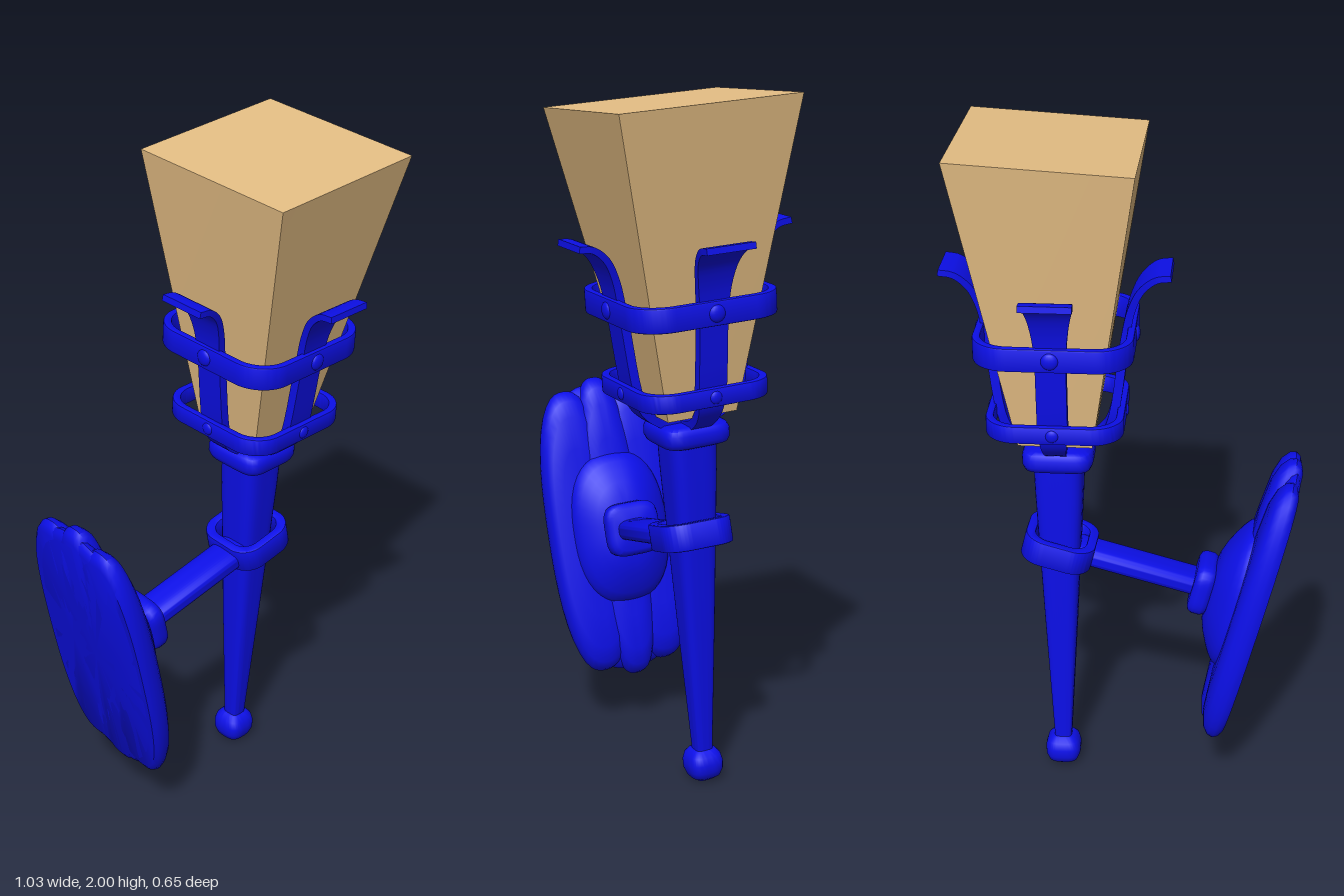
import * as THREE from 'three';
import { mergeVertices, toCreasedNormals } from 'three/addons/utils/BufferGeometryUtils.js';

const metal = new THREE.MeshStandardMaterial({ color: 0x0c0fe8 });
const glow = new THREE.MeshStandardMaterial({ color: 0xe6bf85 });

const V = (x, y, z) => new THREE.Vector3(x, y, z);

function add(parent, name, geometry, material = metal) {
  const mesh = new THREE.Mesh(geometry, material);
  mesh.name = name;
  parent.add(mesh);
  return mesh;
}

// Lathe whose round section is squared off by a superellipse of power n
function squareLathe(profile, n = 4, sx = 1, sz = 1) {
  let g = new THREE.LatheGeometry(profile.map(([r, y]) => new THREE.Vector2(r, y)), 48);
  const p = g.attributes.position;
  for (let i = 0; i < p.count; i++) {
    const x = p.getX(i), z = p.getZ(i), r = Math.hypot(x, z);
    if (r < 1e-6) continue;
    const k = Math.pow(Math.pow(Math.abs(x / r), n) + Math.pow(Math.abs(z / r), n), -1 / n);
    p.setXYZ(i, x * k * sx, p.getY(i), z * k * sz);
  }
  g.deleteAttribute('uv');
  g.deleteAttribute('normal');
  g = mergeVertices(g, 1e-5);
  return toCreasedNormals(g, 0.8);
}

// Block with softened rims, from y0 to y1
function softBlock(hx, hz, y0, y1, b, n = 4) {
  const k = b / Math.max(hx, hz);
  return squareLathe([[0, y0], [1 - k, y0], [1 - k * 0.3, y0 + b * 0.3], [1, y0 + b],
    [1, y1 - b], [1 - k * 0.3, y1 - b * 0.3], [1 - k, y1], [0, y1]], n, hx, hz);
}

function roundedSquare(path, h, r) {
  path.moveTo(h, 0);
  for (let q = 0; q < 4; q++) {
    const a = q * Math.PI / 2, c = h - r;
    const ox = c * (Math.cos(a) - Math.sin(a)), oy = c * (Math.sin(a) + Math.cos(a));
    path.absarc(ox, oy, r, a, a + Math.PI / 2, false);
  }
  path.closePath();
  return path;
}

// Flat band bent into a rounded square, centred on the origin
function band(h, r, thick, height) {
  const shape = roundedSquare(new THREE.Shape(), h, r);
  shape.holes.push(roundedSquare(new THREE.Path(), h - thick, r - thick * 0.8));
  const b = 0.005;
  const g = new THREE.ExtrudeGeometry(shape, {
    depth: height - 2 * b, bevelThickness: b, bevelSize: b, bevelOffset: -b, bevelSegments: 2, curveSegments: 10,
  });
  g.translate(0, 0, -height / 2 + b).rotateX(-Math.PI / 2);
  return toCreasedNormals(g, 0.6);
}

// Curved strap in the z-y plane: swept rectangle, narrow at its foot and flared at its tip
function strapGeometry() {
  const curve = new THREE.CatmullRomCurve3([
    V(0, 1.088, 0.02), V(0, 1.103, 0.085), V(0, 1.145, 0.137), V(0, 1.2, 0.158), V(0, 1.43, 0.19),
    V(0, 1.52, 0.208), V(0, 1.58, 0.235), V(0, 1.615, 0.275), V(0, 1.622, 0.316)]);
  const pos = [], index = [], N = 40;
  for (let i = 0; i <= N; i++) {
    const t = i / N, p = curve.getPoint(t), d = curve.getTangent(t);
    const flare = Math.max(0, (p.y - 1.4) / 0.22);
    const foot = Math.max(0, (1.2 - p.y) / 0.11);
    const w = 0.042 + 0.029 * flare * flare - 0.014 * foot, th = 0.013 - 0.004 * flare;
    for (const [a, b] of [[-1, -1], [1, -1], [1, 1], [-1, 1]])
      pos.push(a * w, p.y - b * th * d.z, p.z + b * th * d.y);
    if (i < N) for (let j = 0; j < 4; j++) {
      const a = i * 4 + j, b = i * 4 + (j + 1) % 4;
      index.push(a, a + 4, b, b, a + 4, b + 4);
    }
  }
  const e = N * 4;
  index.push(0, 1, 2, 0, 2, 3, e, e + 2, e + 1, e, e + 3, e + 2);
  const g = new THREE.BufferGeometry();
  g.setAttribute('position', new THREE.Float32BufferAttribute(pos, 3));
  g.setIndex(index);
  return toCreasedNormals(g, 0.7);
}

// Group whose local y follows `up` and local z stays near `forward`
function frame(name, origin, up, forward) {
  const y = up.clone().normalize();
  const x = y.clone().cross(forward).normalize();
  const z = x.clone().cross(y);
  const g = new THREE.Group();
  g.name = name;
  g.quaternion.setFromRotationMatrix(new THREE.Matrix4().makeBasis(x, y, z));
  g.position.copy(origin);
  return g;
}

function buildTorch() {
  const torch = frame('torch', V(0.17, 0, -0.094), V(0.0135, 1, 0.058), V(0.174, 0, 0.985));

  add(torch, 'endKnob', squareLathe([[0, 0.003], [0.028, 0.006], [0.044, 0.018], [0.052, 0.038],
    [0.053, 0.062], [0.047, 0.084], [0.034, 0.098], [0, 0.104]], 3.2));
  add(torch, 'shaft', squareLathe([[0, 0.08], [0.025, 0.08], [0.047, 0.5], [0.069, 0.95], [0.072, 1.05], [0, 1.05]], 4));
  add(torch, 'collar', softBlock(0.101, 0.101, 1.033, 1.096, 0.02, 5));

  // Cage bands and straps
  add(torch, 'lowerBand', band(0.192, 0.088, 0.022, 0.052)).position.y = 1.2;
  add(torch, 'upperBand', band(0.22, 0.1, 0.022, 0.068)).position.y = 1.435;
  const strap = strapGeometry();
  for (let i = 0; i < 4; i++) {
    const side = new THREE.Group();
    side.name = 'cageSide';
    side.rotation.y = i * Math.PI / 2;
    add(side, 'strap', strap);
    for (const [y, z, r] of [[1.435, 0.219, 0.024], [1.2, 0.191, 0.018]]) {
      const rivet = add(side, 'rivet', new THREE.SphereGeometry(r, 16, 10));
      rivet.position.set(0, y, z);
      rivet.scale.z = 0.45;
    }
    torch.add(side);
  }
  return torch;
}

// Tapered block of light, slightly skewed at its top
function buildLight() {
  const g = new THREE.BoxGeometry(2, 2, 2);
  const ends = {
    top: [V(0.2125, 1.97, 0.0225), V(0.245, 0.0125, -0.04), V(0.0425, -0.0175, 0.2575)],
    bottom: [V(0.186, 1.125, -0.029), V(0.103, 0, -0.018), V(0.018, -0.006, 0.103)],
  };
  const p = g.attributes.position;
  for (let i = 0; i < p.count; i++) {
    const [c, u, v] = p.getY(i) > 0 ? ends.top : ends.bottom;
    const q = c.clone().addScaledVector(u, p.getX(i)).addScaledVector(v, p.getZ(i));
    p.setXYZ(i, q.x, q.y, q.z);
  }
  g.computeVertexNormals();
  return g;
}

function buildWallMount() {
  // local y points away from the wall, local z runs up the plate
  const mount = frame('wallMount', V(-0.405, 0.61, 0.03), V(0.965, 0.235, -0.11), V(-0.22, 0.97, 0.09));
  const pillow = (h) => [[0, 0], [0.93, 0], [0.98, 0.12 * h], [1, 0.3 * h], [0.985, 0.52 * h],
    [0.93, 0.74 * h], [0.82, 0.9 * h], [0.6, 0.98 * h], [0, h]];

  add(mount, 'backPlate', squareLathe(pillow(0.06), 2.6, 0.205, 0.445));
  for (const s of [-1, 1])
    add(mount, 'plateLobe', squareLathe(pillow(0.08), 2.5, 0.115, 0.435)).position.x = s * 0.1;
  add(mount, 'plateCentre', squareLathe(pillow(0.088), 2.8, 0.085, 0.464));
  add(mount, 'plateMound', squareLathe([[0, 0.05], [1, 0.05], [0.99, 0.075], [0.95, 0.092], [0.86, 0.108],
    [0.74, 0.124], [0.6, 0.14], [0.45, 0.152], [0.25, 0.158], [0, 0.16]], 2.5, 0.155, 0.235));
  add(mount, 'boss', softBlock(0.084, 0.08, 0.148, 0.207, 0.018, 4));
  add(mount, 'arm', softBlock(0.054, 0.031, 0.18, 0.56, 0.01, 3));
  const clamp = add(mount, 'clamp', band(0.104, 0.066, 0.028, 0.076));
  clamp.position.set(-0.01, 0.612, 0.008);
  clamp.rotation.x = Math.PI / 2;
  return mount;
}

export function createModel() {
  const model = new THREE.Group();
  model.name = 'wallTorch';
  model.add(buildTorch(), buildWallMount());
  add(model, 'light', buildLight(), glow);
  return model;
}
